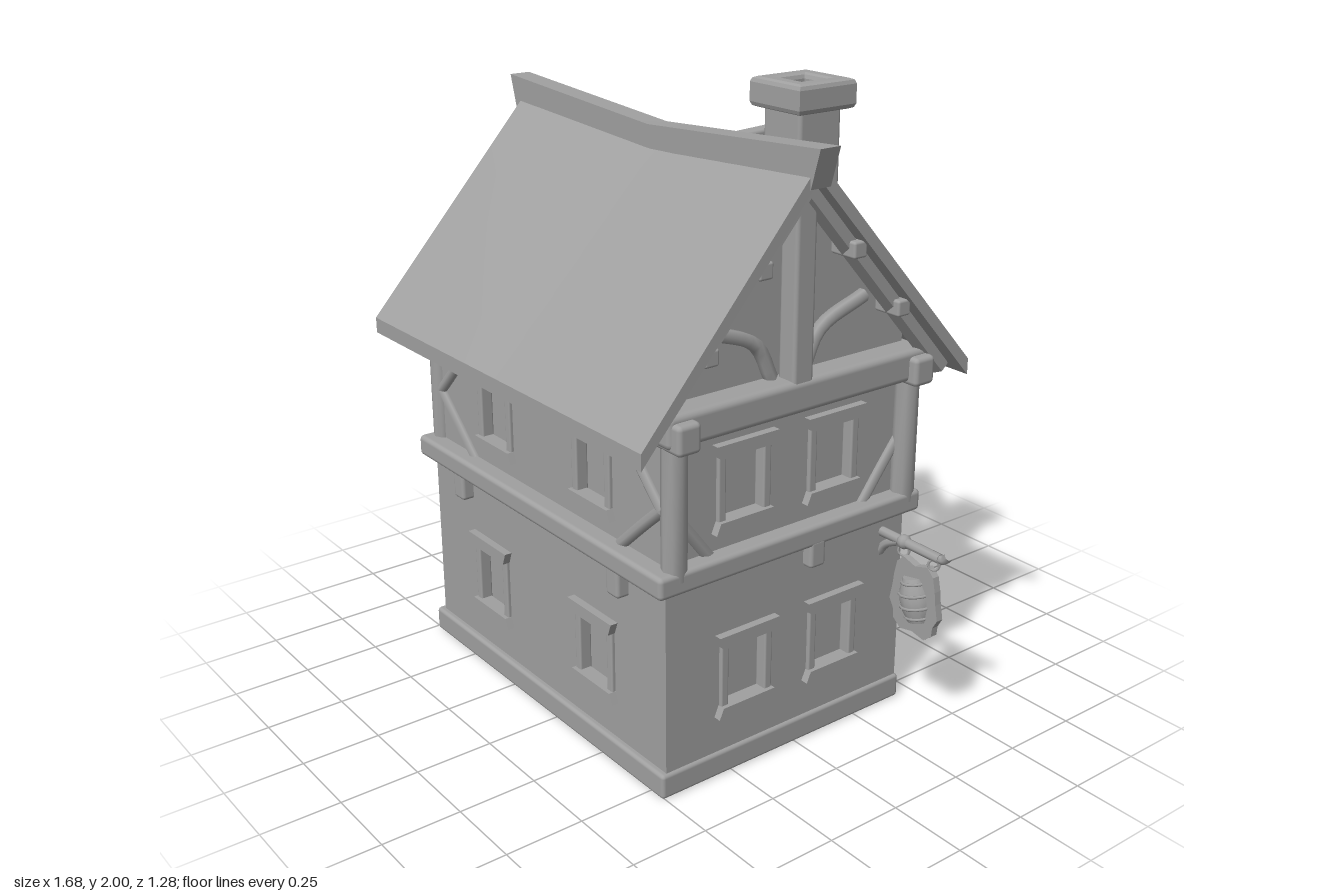
import * as THREE from 'three';
import { RoundedBoxGeometry } from 'three/addons/geometries/RoundedBoxGeometry.js';
import { toCreasedNormals } from 'three/addons/utils/BufferGeometryUtils.js';

const grey = new THREE.MeshStandardMaterial({ color: 0xa0a0a0 });
grey.name = 'stone grey';

function add(parent, name, geo, x = 0, y = 0, z = 0) {
  const m = new THREE.Mesh(geo, grey);
  m.name = name;
  m.position.set(x, y, z);
  parent.add(m);
  return m;
}
// Soft-edged block given by its minimum and maximum corners
function block(parent, name, x0, x1, y0, y1, z0, z1, r = 0.012) {
  const s = [x1 - x0, y1 - y0, z1 - z0];
  const geo = r ? new RoundedBoxGeometry(...s, 2, Math.min(r, Math.min(...s) * 0.4)) : new THREE.BoxGeometry(...s);
  return add(parent, name, geo, (x0 + x1) / 2, (y0 + y1) / 2, (z0 + z1) / 2);
}
// Round or square timber between two points
function stick(parent, name, a, b, r = 0.02, sides = 8) {
  const p = new THREE.Vector3(...a), q = new THREE.Vector3(...b), d = q.clone().sub(p);
  const m = add(parent, name, toCreasedNormals(new THREE.CylinderGeometry(r, r, d.length(), sides), 0.9));
  m.position.copy(p).add(q).multiplyScalar(0.5);
  m.quaternion.setFromUnitVectors(new THREE.Vector3(0, 1, 0), d.normalize());
  return m;
}
function curved(parent, name, pts, r = 0.02) {
  const c = new THREE.CatmullRomCurve3(pts.map(p => new THREE.Vector3(...p)));
  return add(parent, name, new THREE.TubeGeometry(c, 10, r, 6));
}
function poly(pts) {
  return new THREE.Shape(pts.map(p => new THREE.Vector2(...p)));
}
function rect(x0, x1, y0, y1) {
  return poly([[x0, y0], [x1, y0], [x1, y1], [x0, y1]]);
}
const extrude = (shape, depth) => new THREE.ExtrudeGeometry(shape, { depth, bevelEnabled: false });

// Window surround on a wall whose outer surface is z = 0
function windowFrame(parent, x, y, w, h) {
  const g = new THREE.Group();
  g.name = 'window';
  g.position.set(x, y, 0);
  parent.add(g);
  const a = w / 2, b = h / 2;
  add(g, 'lintel', extrude(poly([[-a + 0.015, b - 0.04], [a - 0.015, b - 0.04], [a, b], [-a, b]]), 0.05), 0, 0, -0.025);
  add(g, 'sill', extrude(poly([[-a, -b], [a, -b], [a - 0.015, -b + 0.035], [-a + 0.015, -b + 0.035]]), 0.05), 0, 0, -0.025);
  for (const s of [-1, 1]) block(g, 'jamb', s * (a - 0.03) - 0.014, s * (a - 0.03) + 0.014, -b + 0.02, b - 0.02, -0.03, 0.012, 0.006);
}

// One storey: a solid core faced with four panels that have window openings
function storey(parent, name, cx, cz, hx, hz, y0, y1, winY, winH, offs, upper) {
  const g = new THREE.Group();
  g.name = name;
  g.position.set(cx, 0, cz);
  parent.add(g);
  block(g, 'core', -hx + 0.035, hx - 0.035, y0, y1, -hz + 0.035, hz - 0.035, 0);
  for (let i = 0; i < 4; i++) {
    const side = i % 2 === 1, hw = side ? hz : hx, out = side ? hx : hz;
    const face = new THREE.Group();
    face.name = ['frontWall', 'leftWall', 'backWall', 'rightWall'][i];
    face.rotation.y = i * Math.PI / 2;
    face.position.set(Math.sin(i * Math.PI / 2) * out, 0, Math.cos(i * Math.PI / 2) * out);
    g.add(face);
    const shape = rect(-hw, hw, y0, y1);
    const d = side ? 0.17 : offs, w = 0.225;
    if (upper || i !== 2) {
      for (const s of [-1, 1]) {
        const x = s * d;
        shape.holes.push(rect(x - w / 2 + 0.03, x + w / 2 - 0.03, winY - winH / 2 + 0.02, winY + winH / 2 - 0.02));
        windowFrame(face, x, winY, w, winH);
      }
    }
    add(face, 'panel', extrude(shape, 0.04), 0, 0, -0.04);
    for (const s of [-1, 1]) {
      const e = s * (hw - 0.01);
      if (upper) {
        // Curved corner braces
        const reach = side ? 0.14 : 0.2;
        curved(face, 'lowerBrace', [[e, 0.9, 0], [e - s * reach * 0.4, 0.83, 0], [e - s * reach, 0.72, 0]]);
        if (!side) curved(face, 'upperBrace', [[e, 0.9, 0], [e - s * reach * 0.4, 0.98, 0], [e - s * reach, 1.11, 0]]);
      } else if (!side) block(face, 'beamEnd', s * 0.43 - 0.03, s * 0.43 + 0.03, 0.58, 0.68, -0.02, 0.04);
    }
    if (!upper && side) block(face, 'beamEnd', 0.05, 0.11, 0.59, 0.68, -0.02, 0.035);
  }
}

// Sagging main roof slope, dir +1 for the front and -1 for the back
const sag = x => -0.045 * (1 - Math.min(1, Math.abs(x + 0.05) / 0.72));
function roofSlope(parent, dir, eaveZ) {
  const geo = new THREE.BoxGeometry(1, 1, 1, 12, 1, 6), p = geo.attributes.position;
  for (let i = 0; i < p.count; i++) {
    const v = dir > 0 ? p.getZ(i) + 0.5 : 0.5 - p.getZ(i);
    const x = -0.07 + p.getX(i) * (1.42 + 0.025 * v);
    const y = THREE.MathUtils.lerp(1.83, 1.15, v) + sag(x) * (1 - v) + (p.getY(i) - 0.5) * 0.05;
    p.setXYZ(i, x, y, THREE.MathUtils.lerp(0.035, eaveZ, v));
  }
  geo.computeVertexNormals();
  add(parent, dir > 0 ? 'frontRoof' : 'backRoof', geo);
}

// Small pitched roof running along z
function smallRoof(parent, name, cx, topY, halfW, drop, z0, z1, t) {
  const len = Math.hypot(halfW, drop);
  for (const s of [-1, 1]) {
    const m = add(parent, name, new THREE.BoxGeometry(len, t, z1 - z0), cx + s * halfW / 2, topY - drop / 2, (z0 + z1) / 2);
    m.rotation.z = -s * Math.atan2(drop, halfW);
  }
}

export function createModel() {
  const house = new THREE.Group();
  house.name = 'house';

  // Walls and ring beams
  block(house, 'plinth', -0.74, 0.565, 0, 0.08, -0.44, 0.51);
  storey(house, 'groundFloor', -0.08, 0.03, 0.635, 0.46, 0.05, 0.68, 0.335, 0.27, 0.29, false);
  block(house, 'middleBeam', -0.75, 0.59, 0.66, 0.73, -0.47, 0.535, 0.015);
  storey(house, 'upperFloor', -0.075, 0.03, 0.61, 0.445, 0.7, 1.12, 0.92, 0.27, 0.265, true);
  block(house, 'topBeam', -0.75, 0.6, 1.1, 1.2, -0.46, 0.51, 0.02);
  for (const z of [0.46, -0.42]) {
    block(house, 'eaveBeam', -0.78, 0.63, 1.09, 1.18, z - 0.04, z + 0.04, 0.015);
    for (const x of [-0.705, 0.555]) stick(house, 'cornerPost', [x, 0.7, z], [x, 1.15, z], 0.038, 8);
  }

  // Gables with king post, rafters, purlin ends and curved braces
  const gable = extrude(poly([[0.5, 1.15], [0.5, 1.24], [0.035, 1.74], [-0.43, 1.24], [-0.43, 1.15]].reverse()), 1.18);
  gable.rotateY(-Math.PI / 2);
  add(house, 'gableWall', gable, 0.515);
  for (const s of [-1, 1]) {
    const at = d => -0.075 + s * d;
    block(house, 'kingPost', at(0.635) - 0.035, at(0.635) + 0.035, 1.18, 1.77, -0.005, 0.07);
    for (const dir of [-1, 1]) {
      const end = dir > 0 ? 0.59 : -0.525, slope = 0.68 / (dir > 0 ? 0.605 : 0.61);
      const roofY = z => 1.83 - Math.abs(z - 0.035) * slope;
      stick(house, 'rafter', [at(0.655), roofY(0.035) - 0.085, 0.035], [at(0.655), roofY(end) - 0.085, end], 0.032, 6);
      for (const f of [0.3, 0.62]) {
        const z = 0.035 + dir * f * 0.57, y = roofY(z) - 0.085;
        block(house, 'purlinEnd', at(0.655) - 0.05, at(0.655) + 0.05, y - 0.025, y + 0.025, z - 0.025, z + 0.025, 0.008);
      }
      curved(house, 'gableBrace', [[at(0.6), 1.2, 0.035 + dir * 0.06], [at(0.6), 1.31, 0.035 + dir * 0.12], [at(0.6), 1.38, 0.035 + dir * 0.29]], 0.022);
    }
  }

  // Main roof and sagging ridge beam
  roofSlope(house, 1, 0.64);
  roofSlope(house, -1, -0.575);
  const ridge = new THREE.BoxGeometry(1.48, 0.115, 0.072, 12, 1, 1), rp = ridge.attributes.position;
  for (let i = 0; i < rp.count; i++) {
    const x = rp.getX(i), y = rp.getY(i);
    rp.setXY(i, x * (1 + 0.4 * y), y + 0.05 * Math.abs(x) / 0.74);
  }
  ridge.computeVertexNormals();
  add(house, 'ridgeBeam', ridge, -0.08, 1.7625, 0.035);

  // Chimney with a hollow cap
  block(house, 'chimneyStack', 0.31, 0.465, 1.4, 1.93, -0.2, -0.045);
  const capShape = rect(-0.09, 0.09, -0.09, 0.09);
  capShape.holes.push(rect(-0.06, 0.06, -0.06, 0.06));
  const cap = new THREE.ExtrudeGeometry(capShape, { depth: 0.055, bevelThickness: 0.015, bevelSize: 0.015, bevelSegments: 2 });
  cap.rotateX(-Math.PI / 2);
  add(house, 'chimneyCap', cap, 0.387, 1.93, -0.123);

  // Dormer on the back slope
  const dormer = extrude(poly([[-0.11, 1.26], [0.11, 1.26], [0.11, 1.57], [0, 1.69], [-0.11, 1.57]]), 0.32);
  add(house, 'dormerWall', dormer, -0.075, 0, -0.42);
  smallRoof(house, 'dormerRoof', -0.075, 1.735, 0.205, 0.235, -0.48, -0.07, 0.03);
  const dRidge = block(house, 'dormerRidge', -0.102, -0.048, 1.7, 1.755, -0.49, -0.065);
  dRidge.rotation.x = 0.05;
  const dWin = new THREE.Group();
  dWin.name = 'dormerWindow';
  dWin.position.set(-0.075, 0, -0.42);
  dWin.rotation.y = Math.PI;
  house.add(dWin);
  windowFrame(dWin, 0, 1.43, 0.22, 0.28);
  block(dWin, 'mullion', -0.008, 0.008, 1.3, 1.54, -0.01, 0.008, 0);
  for (const s of [-1, 1]) block(dWin, 'dormerPost', s * 0.105 - 0.018, s * 0.105 + 0.018, 1.28, 1.56, -0.03, 0.02);

  // Porch and double door at the back
  const px = -0.04;
  block(house, 'doorStep', px - 0.23, px + 0.23, 0, 0.03, -0.59, -0.42);
  for (const s of [-1, 1]) {
    const x = px + s * 0.2;
    block(house, 'doorLeaf', px + s * 0.073 - 0.071, px + s * 0.073 + 0.071, 0.03, 0.53, -0.455, -0.42, 0.006);
    block(house, 'doorFrame', px + s * 0.165 - 0.02, px + s * 0.165 + 0.02, 0.03, 0.57, -0.475, -0.42);
    add(house, 'doorHandle', new THREE.TorusGeometry(0.014, 0.004, 6, 12), px + s * 0.022, 0.28, -0.458);
    block(house, 'porchPost', x - 0.022, x + 0.022, 0.02, 0.6, -0.58, -0.535);
    block(house, 'porchRail', x - 0.014, x + 0.014, 0.17, 0.205, -0.56, -0.42, 0.008);
    block(house, 'porchBeam', x - 0.022, x + 0.022, 0.54, 0.585, -0.6, -0.42);
    curved(house, 'porchBrace', [[x, 0.36, -0.55], [x + s * 0.02, 0.44, -0.55], [x + s * 0.09, 0.53, -0.55]], 0.016);
    curved(house, 'porchSideBrace', [[x, 0.38, -0.43], [x, 0.43, -0.47], [x, 0.55, -0.53]], 0.014);
  }
  block(house, 'doorLintel', px - 0.19, px + 0.19, 0.53, 0.58, -0.48, -0.42);
  block(house, 'porchTieBeam', px - 0.24, px + 0.24, 0.565, 0.605, -0.58, -0.535);
  block(house, 'porchKingPost', px - 0.018, px + 0.018, 0.59, 0.77, -0.575, -0.54);
  smallRoof(house, 'porchRoof', px, 0.785, 0.32, 0.28, -0.625, -0.45, 0.035);
  const pRidge = block(house, 'porchRidge', px - 0.03, px + 0.03, 0.76, 0.815, -0.64, -0.445);
  pRidge.rotation.x = 0.12;

  // Hanging sign with a cask
  const sz = -0.345;
  stick(house, 'signArm', [0.54, 0.61, sz], [0.8, 0.61, sz], 0.016);
  curved(house, 'signArmTip', [[0.79, 0.61, sz], [0.815, 0.612, sz], [0.832, 0.63, sz]], 0.014);
  add(house, 'armCollar', new THREE.SphereGeometry(0.023, 10, 8), 0.65, 0.61, sz);
  curved(house, 'signBrace', [[0.54, 0.53, sz], [0.575, 0.575, sz], [0.63, 0.605, sz]], 0.014);
  for (const x of [0.65, 0.775]) {
    add(house, 'signRing', new THREE.TorusGeometry(0.017, 0.004, 6, 12), x, 0.58, sz).rotation.y = 0.6;
  }
  const half = [[0, 0.335], [0.05, 0.325], [0.08, 0.35], [0.083, 0.38], [0.1, 0.41], [0.09, 0.46], [0.085, 0.5], [0.075, 0.545], [0.05, 0.57], [0, 0.555]];
  const shield = poly([...half, ...half.slice(1, -1).reverse().map(([x, y]) => [-x, y])]);
  add(house, 'signBoard', extrude(shield, 0.024), 0.712, 0, sz - 0.012);
  const cask = new THREE.Group();
  cask.name = 'cask';
  cask.position.set(0.715, 0.445, sz);
  cask.rotation.z = 0.2;
  house.add(cask);
  const stave = [[0, -0.07], [0.036, -0.07], [0.05, -0.03], [0.053, 0], [0.05, 0.03], [0.036, 0.07], [0, 0.07]];
  add(cask, 'caskBody', toCreasedNormals(new THREE.LatheGeometry(stave.map(p => new THREE.Vector2(...p)), 14), 0.9));
  for (const [y, r] of [[-0.055, 0.041], [-0.02, 0.052], [0.02, 0.052], [0.055, 0.041]]) {
    add(cask, 'hoop', new THREE.TorusGeometry(r, 0.005, 6, 14), 0, y, 0).rotation.x = Math.PI / 2;
  }
  return house;
}
